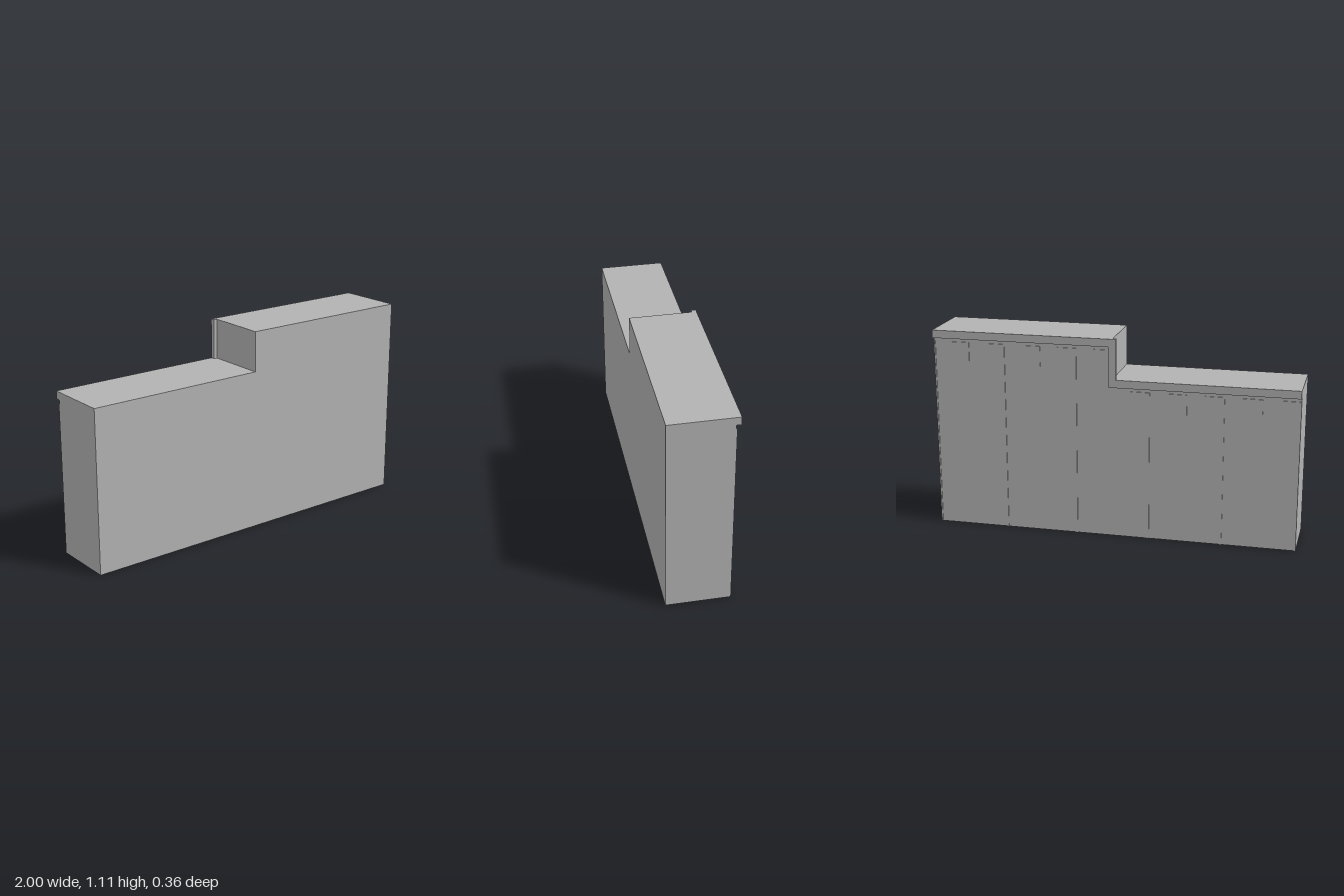
import * as THREE from 'three';

export function createModel() {
  const group = new THREE.Group();
  const grey = new THREE.MeshStandardMaterial({ color: 0xb2b2b2 });
  grey.name = 'plainGrey';

  const HIGH = 1.11, LOW = 0.89, FRONT = 0.18, WALL = -0.155, RELIEF = -0.16, BACK = -0.18;

  // Extrude an x/y outline between two depths
  function slab(name, points, z0, z1) {
    const shape = new THREE.Shape(points.map(([x, y]) => new THREE.Vector2(x, y)));
    const geometry = new THREE.ExtrudeGeometry(shape, { depth: z1 - z0, bevelEnabled: false });
    geometry.translate(0, 0, z0);
    const mesh = new THREE.Mesh(geometry, grey);
    mesh.name = name;
    group.add(mesh);
  }

  // Thin raised rectangle on the back wall
  function relief(name, x0, x1, y0, y1) {
    slab(name, [[x0, y0], [x1, y0], [x1, y1], [x0, y1]], RELIEF, WALL);
  }

  // Stepped main block
  slab('body', [[-1, 0], [1, 0], [1, HIGH], [0, HIGH], [0, LOW], [-1, LOW]], WALL, FRONT);

  // Cornice following the step along the back
  const t = 0.043, s = 0.02;
  slab('cornice', [
    [-1, LOW - t], [s, LOW - t], [s, HIGH - t], [1, HIGH - t],
    [1, HIGH], [-s, HIGH], [-s, LOW], [-1, LOW],
  ], BACK, WALL);

  // Row of square blocks under each cornice
  for (let i = 0; i < 10; i++) {
    const x = 0.8 - 0.2 * i;
    const top = (x > -0.01 ? HIGH : LOW) - 0.064;
    relief('squareBlock', x, x + 0.105, top - 0.112, top);
  }

  // Narrow vertical ribs dividing the wall into bays
  for (let i = 0; i < 6; i++) {
    const x = 1 - 0.4 * i;
    const top = (x > 0 ? HIGH : LOW) - 0.064;
    const x0 = i === 0 ? 0.992 : x;
    relief('rib', x0, i === 0 ? 1 : x + 0.01, 0, i === 0 ? top : top - 0.112);
  }

  return group;
}
